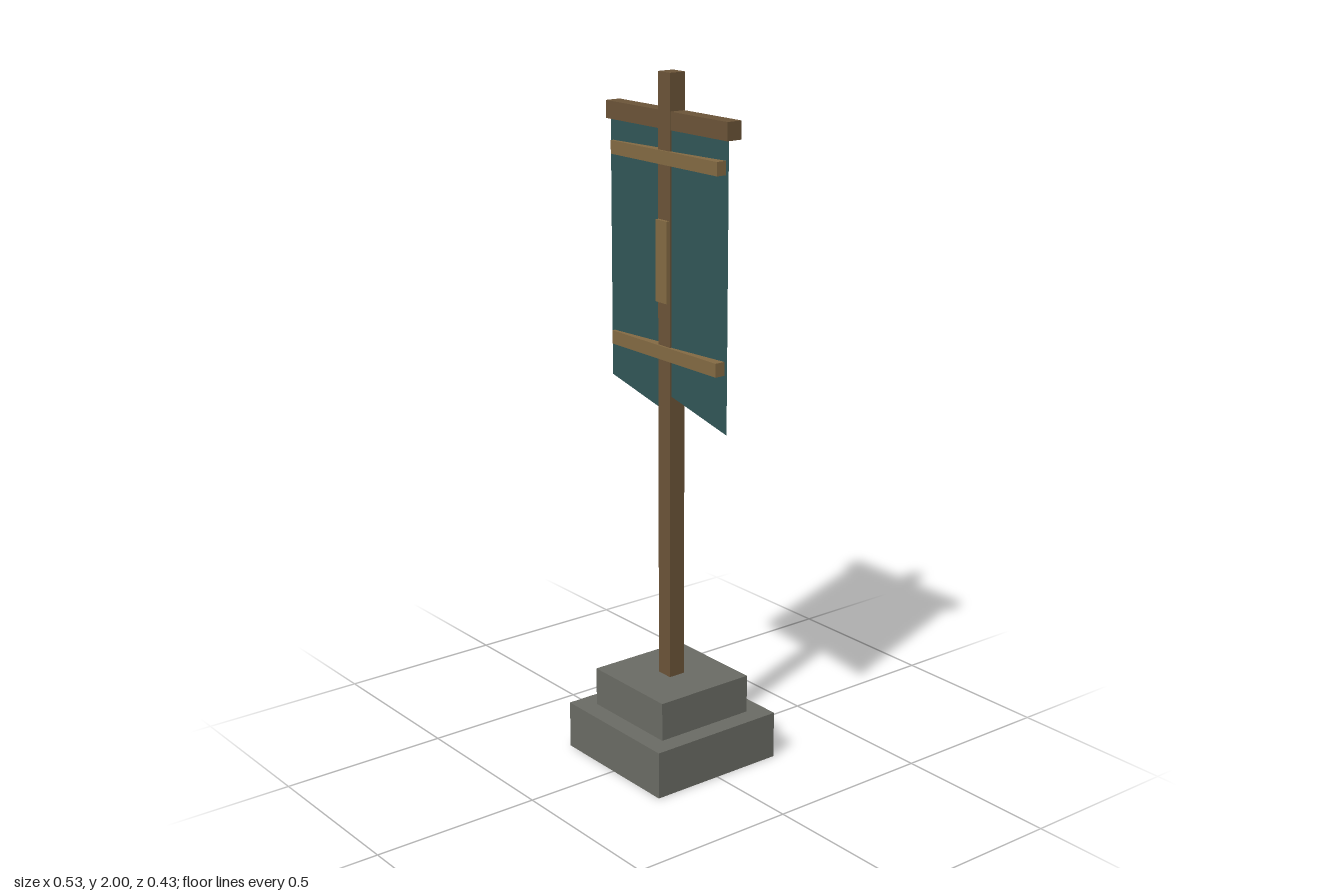
import * as THREE from 'three';

export function createModel() {
  const model = new THREE.Group();
  model.name = 'bannerPost';

  const material = (name, color, extra = {}) => {
    const m = new THREE.MeshStandardMaterial({ color, ...extra });
    m.name = name;
    return m;
  };
  const stone = material('stone', 0x6a6b64);
  const wood = material('dark wood', 0x6b5438);
  const trim = material('light wood', 0x836a43);
  const cloth = material('teal cloth', 0x315556, { side: THREE.DoubleSide });

  // Box given by its half width, its bottom and top, and its back and front
  const box = (name, mat, halfX, y0, y1, z0, z1) => {
    const mesh = new THREE.Mesh(new THREE.BoxGeometry(halfX * 2, y1 - y0, z1 - z0), mat);
    mesh.position.set(0, (y0 + y1) / 2, (z0 + z1) / 2);
    mesh.name = name;
    model.add(mesh);
  };

  // Stepped stone foot
  box('baseLower', stone, 0.214, 0, 0.14, -0.214, 0.214);
  box('baseUpper', stone, 0.157, 0.14, 0.254, -0.157, 0.157);

  // Post and crossbar
  box('post', wood, 0.026, 0.254, 2, -0.026, 0.026);
  box('crossbar', wood, 0.264, 1.847, 1.897, -0.0235, 0.0235);

  // Slats that hold the cloth, and the plate on the post
  box('slatUpper', trim, 0.232, 1.752, 1.79, -0.005, 0.032);
  box('slatLower', trim, 0.232, 1.206, 1.245, -0.005, 0.032);
  box('postPlate', trim, 0.024, 1.37, 1.6, 0.02, 0.0365);

  // Two cloth panels, each slanting back and hanging lower towards +x
  for (const [name, x0] of [['clothRight', -0.242], ['clothLeft', 0]]) {
    const geometry = new THREE.PlaneGeometry(1, 1);
    const p = geometry.attributes.position;
    for (let i = 0; i < p.count; i++) {
      const outer = p.getX(i) > 0;
      const bottom = outer ? 1.039 : 1.112;
      p.setXYZ(i, x0 + (outer ? 0.242 : 0), p.getY(i) > 0 ? 1.85 : bottom, outer ? 0 : 0.0235);
    }
    geometry.computeVertexNormals();
    const panel = new THREE.Mesh(geometry, cloth);
    panel.name = name;
    model.add(panel);
  }

  return model;
}
